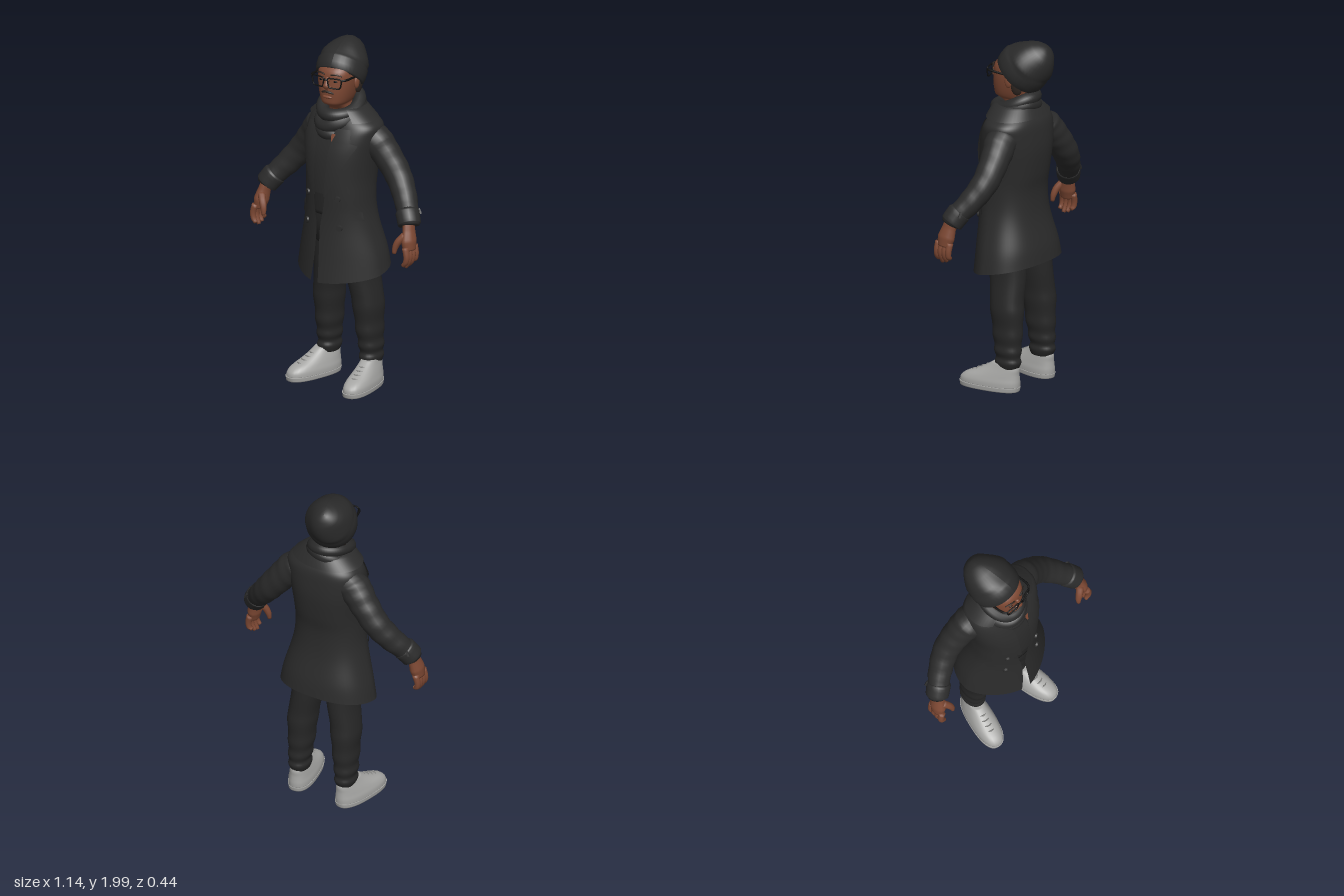
import * as THREE from 'three';

const mat = (name, color, side = THREE.FrontSide) => {
  const m = new THREE.MeshStandardMaterial({ color, side });
  m.name = name;
  return m;
};
const V = (x, y, z) => new THREE.Vector3(x, y, z);

// Surface through rows of points; rows run upward, points run front -> +x -> back -> -x
function grid(rows, closed = true) {
  const n = rows[0].length, idx = [], m = closed ? n : n - 1;
  for (let i = 0; i < rows.length - 1; i++) for (let j = 0; j < m; j++) {
    const a = i * n + j, b = i * n + (j + 1) % n, c = a + n, d = b + n;
    idx.push(a, b, c, b, d, c);
  }
  const g = new THREE.BufferGeometry().setFromPoints(rows.flat());
  g.setIndex(idx);
  g.computeVertexNormals();
  return g;
}
function cap(rows) {
  const mid = r => {
    const c = r.reduce((s, p) => s.add(p), V(0, 0, 0)).divideScalar(r.length);
    return r.map(() => c.clone());
  };
  return [mid(rows[0]), ...rows, mid(rows[rows.length - 1])];
}
// Catmull-Rom resampling of a table of numbers
function smooth(t, k = 4) {
  const out = [], at = i => t[Math.max(0, Math.min(t.length - 1, i))];
  for (let i = 0; i < t.length - 1; i++) for (let s = 0; s < k; s++) {
    const u = s / k;
    out.push(t[i].map((p1, c) => {
      const p0 = at(i - 1)[c], p2 = at(i + 1)[c], p3 = at(i + 2)[c];
      return p1 + 0.5 * u * (p2 - p0 + u * (2 * p0 - 5 * p1 + 4 * p2 - p3 + u * (3 * (p1 - p2) + p3 - p0)));
    }));
  }
  return [...out, t[t.length - 1]];
}
// Horizontal superellipse section; row = [y, halfWidth, zFront, zBack, centreX], powers for front and back
function section([y, hw, zf, zb, cx = 0], [pf, pb], n, t0 = 0, t1 = 2 * Math.PI * (1 - 1 / n)) {
  return Array.from({ length: n }, (_, j) => {
    const t = t0 + (t1 - t0) * j / (n - 1), c = Math.cos(t), s = Math.sin(t), p = c > 0 ? pf : pb;
    const pow = v => Math.sign(v) * Math.abs(v) ** (2 / p);
    return V(cx + hw * pow(s), y, (zf + zb) / 2 + (zf - zb) / 2 * pow(c));
  });
}
const loft = (table, p = 2.2, n = 32) => grid(cap(smooth(table).map(r => section(r, [p, p], n))));

// Tube of varying radius; keys = [x, y, z, radius]
function limb(keys, n = 14, steps = 20, fold = 0) {
  const curve = new THREE.CatmullRomCurve3(keys.map(k => V(k[0], k[1], k[2])));
  const f = curve.computeFrenetFrames(steps), rows = [];
  for (let i = 0; i <= steps; i++) {
    const u = i / steps * (keys.length - 1), k = Math.min(keys.length - 2, Math.floor(u));
    const r0 = THREE.MathUtils.lerp(keys[k][3], keys[k + 1][3], u - k), c = curve.getPoint(i / steps);
    rows.push(Array.from({ length: n }, (_, j) => {
      const a = j / n * 2 * Math.PI, r = r0 * (1 + fold * Math.sin(i * 1.5 + 2 * Math.sin(a)));
      return c.clone().addScaledVector(f.normals[i], r * Math.cos(a)).addScaledVector(f.binormals[i], r * Math.sin(a));
    }));
  }
  return grid(cap(rows));
}
const ball = (x, y, z, sx, sy, sz) => new THREE.SphereGeometry(1, 20, 14).scale(sx, sy, sz).translate(x, y, z);

// Coat: y, halfWidth, zFront, zBack, centreX, opening edge -x, opening edge +x, front roundness
const coat = smooth([
  [0.69, 0.285, 0.222, -0.217, 0, -0.045, 0.01, 1.55], [0.80, 0.265, 0.208, -0.205, 0, -0.03, 0.006, 1.62],
  [0.95, 0.225, 0.19, -0.175, 0, -0.025, 0.0, 1.8], [1.05, 0.205, 0.185, -0.162, 0, -0.04, 0.015, 1.95],
  [1.15, 0.199, 0.186, -0.162, 0, -0.05, 0.03, 2.05], [1.25, 0.2, 0.185, -0.178, 0, -0.05, 0.04, 2.1],
  [1.38, 0.215, 0.17, -0.19, 0, -0.055, 0.05, 2.2], [1.48, 0.226, 0.138, -0.185, 0.005, -0.06, 0.06, 2.3],
  [1.54, 0.222, 0.11, -0.175, 0.01, -0.07, 0.07, 2.3], [1.58, 0.18, 0.09, -0.155, 0.005, -0.07, 0.07, 2.3],
  [1.62, 0.115, 0.065, -0.13, 0, -0.06, 0.06, 2.3]], 5);
function coatFront(x, y) {
  const i = Math.max(0, Math.min(coat.length - 2, coat.findIndex(r => r[0] > y) - 1));
  const u = (y - coat[i][0]) / (coat[i + 1][0] - coat[i][0]);
  const [hw, zf, zb, p] = [1, 2, 3, 7].map(c => THREE.MathUtils.lerp(coat[i][c], coat[i + 1][c], u));
  const q = Math.min(0.97, Math.abs(x) / hw);
  return (zf + zb) / 2 + (zf - zb) / 2 * (1 - q ** p) ** (1 / p);
}
// Cloth piece lying on the coat front; rows = [y, x0, x1]
const patch = (rows, lift) => grid(smooth(rows, 3).map(([y, a, b]) => Array.from({ length: 9 }, (_, j) => {
  const x = a + (b - a) * j / 8;
  return V(x, y, coatFront(x, y) + lift);
})), false);

export function createModel() {
  const model = new THREE.Group();
  const D = THREE.DoubleSide;
  const coatM = mat('coat wool', 0x2b2b2b, D), trouserM = mat('trouser denim', 0x272727), knitM = mat('dark knit', 0x2a2a2a, D);
  const shirtM = mat('shirt cloth', 0x262626), skinM = mat('skin', 0x7d4833, D), hairM = mat('hair', 0x2e2520);
  const frameM = mat('black plastic', 0x0f0f0f), shoeM = mat('shoe leather', 0xa6a6a4), laceM = mat('shoe lace', 0x858583);
  const add = (parent, name, geo, m) => {
    const mesh = new THREE.Mesh(geo, m);
    mesh.name = name;
    parent.add(mesh);
    return mesh;
  };

  // Coat body, open at the front, hem lower in front than behind
  const edge = (x, hw, p) => Math.asin(Math.min(0.9, Math.abs(x) / hw) ** (p / 2));
  const rows = coat.map(r => section(r, [r[7], 2.4], 64, Math.sign(r[6]) * edge(r[6], r[1], r[7]), 2 * Math.PI - edge(r[5], r[1], r[7])));
  rows.flat().forEach(p => { p.y -= 0.21 * p.z * Math.max(0, Math.min(1, (0.98 - p.y) / 0.29)); });
  add(model, 'coatBody', grid(rows, false), coatM);
  const collar = [[1.575, 0.207, 0.12, -0.172], [1.63, 0.145, 0.105, -0.145], [1.64, 0.115, 0.09, -0.13]];
  add(model, 'collar', grid(collar.map(r => section(r, [2.2, 2.2], 40, 0.75, 2 * Math.PI - 0.75)), false), coatM);

  // Clothes under the coat
  add(model, 'shirt', loft([[1.03, 0.16, 0.172, -0.13], [1.15, 0.165, 0.174, -0.13], [1.3, 0.165, 0.168, -0.15], [1.45, 0.17, 0.13, -0.15],
    [1.55, 0.12, 0.08, -0.12]]), shirtM);
  add(model, 'trouserTop', loft([[0.84, 0.15, 0.13, -0.14], [0.95, 0.17, 0.165, -0.14], [1.08, 0.16, 0.168, -0.13]]), trouserM);

  for (const s of [1, -1]) {
    const side = s > 0 ? 'left' : 'right';
    const mirror = t => t.map(([y, a, b]) => s > 0 ? [y, a, b] : [y, -b, -a]);
    // Lapel, pocket flap and buttons
    add(model, side + 'Lapel', patch(mirror([[1.15, 0.03, 0.042], [1.28, 0.04, 0.105], [1.4, 0.045, 0.165], [1.455, 0.05, 0.19],
      [1.475, 0.05, 0.16], [1.54, 0.06, 0.145]]), 0.012), coatM);
    add(model, side + 'PocketFlap', patch(mirror([[1.01, 0.125, 0.214], [1.03, 0.12, 0.209], [1.06, 0.12, 0.203]]), 0.012), coatM);
    for (const [x, y] of [[0.115, 0.97], [0.105, 1.14]]) {
      const b = add(model, side + 'Button', new THREE.CylinderGeometry(0.016, 0.019, 0.014, 16).rotateX(Math.PI / 2), coatM);
      b.position.set(s * x, y, coatFront(x, y) + 0.004);
      b.rotation.y = s * 0.45;
    }

    // Sleeve with cuff and strap
    add(model, side + 'Sleeve', limb([[s * 0.13, 1.48, -0.055, 0.085], [s * 0.19, 1.455, -0.06, 0.093], [s * 0.264, 1.374, -0.075, 0.082],
      [s * 0.35, 1.265, -0.075, 0.075], [s * 0.43, 1.165, -0.035, 0.067], [s * 0.505, 1.075, 0.025, 0.057]], 20, 32, 0.02), coatM);
    add(model, side + 'Cuff', limb([[s * 0.472, 1.115, 0, 0.06], [s * 0.478, 1.107, 0.005, 0.068], [s * 0.512, 1.055, 0.03, 0.065],
      [s * 0.515, 1.047, 0.033, 0.054]], 20, 9), coatM);
    const strap = add(model, side + 'CuffStrap', new THREE.BoxGeometry(0.012, 0.032, 0.05), coatM);
    strap.position.set(s * 0.518, 1.11, -0.025);
    strap.rotation.set(0.3, s * -0.5, s * 0.6);

    // Hand
    const hand = new THREE.Group();
    hand.name = side + 'Hand';
    model.add(hand);
    add(hand, 'palm', limb([[s * 0.505, 1.065, 0.035, 0.034], [s * 0.517, 1.02, 0.045, 0.036], [s * 0.53, 0.965, 0.055, 0.044],
      [s * 0.54, 0.915, 0.06, 0.035]]).translate(s * -0.53, 0, -0.055).scale(0.85, 1, 1.2).translate(s * 0.53, 0, 0.055), skinM);
    [0.1, 0.073, 0.046, 0.02].forEach((z, i) => {
      const tip = [0.835, 0.82, 0.828, 0.85][i];
      add(hand, 'finger', limb([[s * 0.54, 0.94, z, 0.019], [s * 0.552, 0.89, z + 0.003, 0.018], [s * 0.546, 0.855, z + 0.005, 0.016],
        [s * 0.528, tip, z + 0.007, 0.011]], 10, 10), skinM);
    });
    add(hand, 'thumb', limb([[s * 0.515, 1.0, 0.075, 0.022], [s * 0.488, 0.965, 0.098, 0.02], [s * 0.474, 0.93, 0.107, 0.017],
      [s * 0.47, 0.895, 0.112, 0.011]], 10, 10), skinM);

    // Trouser leg with gathered ankle
    add(model, side + 'TrouserLeg', loft([[0.13, 0.05, -0.01, -0.14, 0.15], [0.165, 0.06, 0.002, -0.156, 0.15], [0.195, 0.054, -0.006, -0.15, 0.15],
      [0.23, 0.064, 0.006, -0.157, 0.149], [0.27, 0.061, 0.006, -0.153, 0.147], [0.32, 0.07, 0.02, -0.16, 0.145], [0.38, 0.07, 0.022, -0.158, 0.143],
      [0.46, 0.08, 0.036, -0.163, 0.141], [0.53, 0.08, 0.042, -0.158, 0.135], [0.65, 0.084, 0.06, -0.158, 0.115], [0.8, 0.092, 0.08, -0.15, 0.1],
      [0.98, 0.08, 0.1, -0.12, 0.085]].map(r => [...r.slice(0, 4), s * r[4]]), 2.2, 28), trouserM);

    // Shoe
    const shoe = new THREE.Group();
    shoe.name = side + 'Shoe';
    shoe.position.set(s * 0.178, 0, 0.028);
    shoe.rotation.y = s * 0.2;
    model.add(shoe);
    add(shoe, 'sole', loft([[0, 0.072, 0.18, -0.178], [0.026, 0.075, 0.185, -0.183]], 2.5), shoeM);
    add(shoe, 'upper', loft([[0.024, 0.073, 0.181, -0.181], [0.05, 0.072, 0.175, -0.182], [0.075, 0.066, 0.145, -0.18], [0.1, 0.059, 0.085, -0.178],
      [0.13, 0.05, 0.025, -0.178], [0.158, 0.043, -0.02, -0.165]], 2.4), shoeM);
    for (let i = 0; i < 4; i++) {
      const y = 0.092 + i * 0.014, z = 0.106 - i * 0.029;
      add(shoe, 'lace', limb([[-0.03, y - 0.008, z - 0.012, 0.004], [0, y, z, 0.004], [0.03, y - 0.008, z - 0.012, 0.004]], 6, 8), laceM);
    }
  }
  add(model, 'openNeck', patch([[1.47, 0.05, 0.056], [1.51, 0.04, 0.07]], 0.015), skinM);

  // Scarf: sloping, crossing wraps and a hanging end; rows = y, rx, rz, slope in z, slope in x, radius, centre z
  [[1.638, 0.094, 0.112, 0.35, 0.15, 0.038, -0.005], [1.588, 0.1, 0.116, 0.45, -0.12, 0.04, 0],
    [1.535, 0.092, 0.116, 0.35, 0.2, 0.038, 0.004]].forEach(([y, rx, rz, sz, sx, r, cz]) => {
    const loop = Array.from({ length: 16 }, (_, j) => {
      const a = j / 8 * Math.PI, z = rz * Math.cos(a), x = rx * Math.sin(a);
      return V(x - 0.008, y - sz * z - sx * x + 0.004 * Math.sin(3 * a), z + cz);
    });
    add(model, 'scarfWrap', new THREE.TubeGeometry(new THREE.CatmullRomCurve3(loop, true), 64, r, 12, true), knitM);
  });
  add(model, 'scarfEnd', patch([[1.16, -0.045, 0.035], [1.3, -0.06, 0.042], [1.42, -0.06, 0.05], [1.5, -0.06, 0.04]], 0.002), knitM);

  // Head, turned slightly to its left
  const head = new THREE.Group();
  head.name = 'head';
  head.position.x = -0.018;
  head.rotation.y = 0.15;
  model.add(head);
  add(head, 'face', loft([[1.52, 0.07, 0.05, -0.1], [1.61, 0.066, 0.045, -0.1], [1.65, 0.06, 0.092, -0.1], [1.668, 0.073, 0.122, -0.1],
    [1.70, 0.086, 0.128, -0.11], [1.75, 0.098, 0.13, -0.12], [1.8, 0.104, 0.126, -0.12], [1.85, 0.102, 0.119, -0.12], [1.885, 0.085, 0.085, -0.12],
    [1.91, 0.05, 0.02, -0.11]], 2.4), skinM);
  add(head, 'nose', limb([[0, 1.828, 0.122, 0.011], [0, 1.8, 0.134, 0.014], [0, 1.778, 0.139, 0.019], [0, 1.766, 0.13, 0.012]], 12, 12), skinM);
  add(head, 'lips', ball(0, 1.712, 0.127, 0.03, 0.009, 0.011), skinM);
  add(head, 'moustache', limb([[-0.042, 1.732, 0.117, 0.004], [-0.02, 1.742, 0.13, 0.007], [0, 1.745, 0.133, 0.007], [0.02, 1.742, 0.13, 0.007],
    [0.042, 1.732, 0.117, 0.004]], 10, 16), hairM);
  for (const s of [1, -1]) {
    add(head, 'nostril', ball(s * 0.016, 1.773, 0.132, 0.011, 0.01, 0.012), skinM);
    add(head, 'ear', ball(s * 0.107, 1.775, -0.01, 0.012, 0.035, 0.022), skinM);
    add(head, 'sideburn', ball(s * 0.092, 1.745, -0.055, 0.014, 0.045, 0.035), hairM);
    add(head, 'eye', ball(s * 0.045, 1.806, 0.117, 0.013, 0.006, 0.006), frameM);
    add(head, 'eyebrow', limb([[s * 0.02, 1.843, 0.125, 0.004], [s * 0.05, 1.848, 0.119, 0.005], [s * 0.08, 1.838, 0.103, 0.003]], 8, 8), hairM);
    // Spectacles
    const rim = [[-1, 0.6], [-0.8, 1], [0.8, 1], [1, 0.6], [0.85, -0.6], [0.6, -1], [-0.6, -1], [-0.85, -0.6]]
      .map(([u, v]) => V(s * (0.053 + u * 0.041), 1.803 + v * 0.028, 0.139 - u * 0.007));
    add(head, 'rim', new THREE.TubeGeometry(new THREE.CatmullRomCurve3(rim, true, 'catmullrom', 0.3), 48, 0.0042, 8, true), frameM);
    add(head, 'temple', limb([[s * 0.094, 1.824, 0.132, 0.006], [s * 0.107, 1.824, 0.112, 0.007], [s * 0.111, 1.815, 0, 0.006]], 8, 10), frameM);
  }
  add(head, 'bridge', limb([[-0.014, 1.817, 0.146, 0.005], [0, 1.822, 0.149, 0.005], [0.014, 1.817, 0.146, 0.005]], 8, 6), frameM);

  // Slouched beanie with turned-up band, tapering to the back
  const profile = [[0.118, 0.012], [0.13, 0], [0.141, 0.008], [0.146, 0.04], [0.146, 0.078], [0.139, 0.09], [0.141, 0.108], [0.134, 0.13],
    [0.12, 0.16], [0.101, 0.192], [0.078, 0.221], [0.05, 0.242], [0.022, 0.253], [0, 0.255]].map(p => new THREE.Vector2(...p));
  const hat = new THREE.LatheGeometry(profile, 40), pos = hat.attributes.position;
  for (let i = 0; i < pos.count; i++) {
    const x = pos.getX(i), y = pos.getY(i), z = pos.getZ(i), a = Math.atan2(x, z);
    const k = 1 + (y > 0.1 ? 0.03 * Math.sin(3 * a + y * 30) : 0), front = z > 0 && y < 0.1 ? 1.06 : 1;
    pos.setXYZ(i, x * k * 0.97, y, z * k * front - 0.12 * Math.max(0, y - 0.1));
  }
  hat.computeVertexNormals();
  const beanie = add(head, 'beanie', hat, knitM);
  beanie.position.set(-0.004, 1.783, -0.008);
  beanie.rotation.set(-0.7, 0.1, 0, 'YXZ');
  return model;
}
